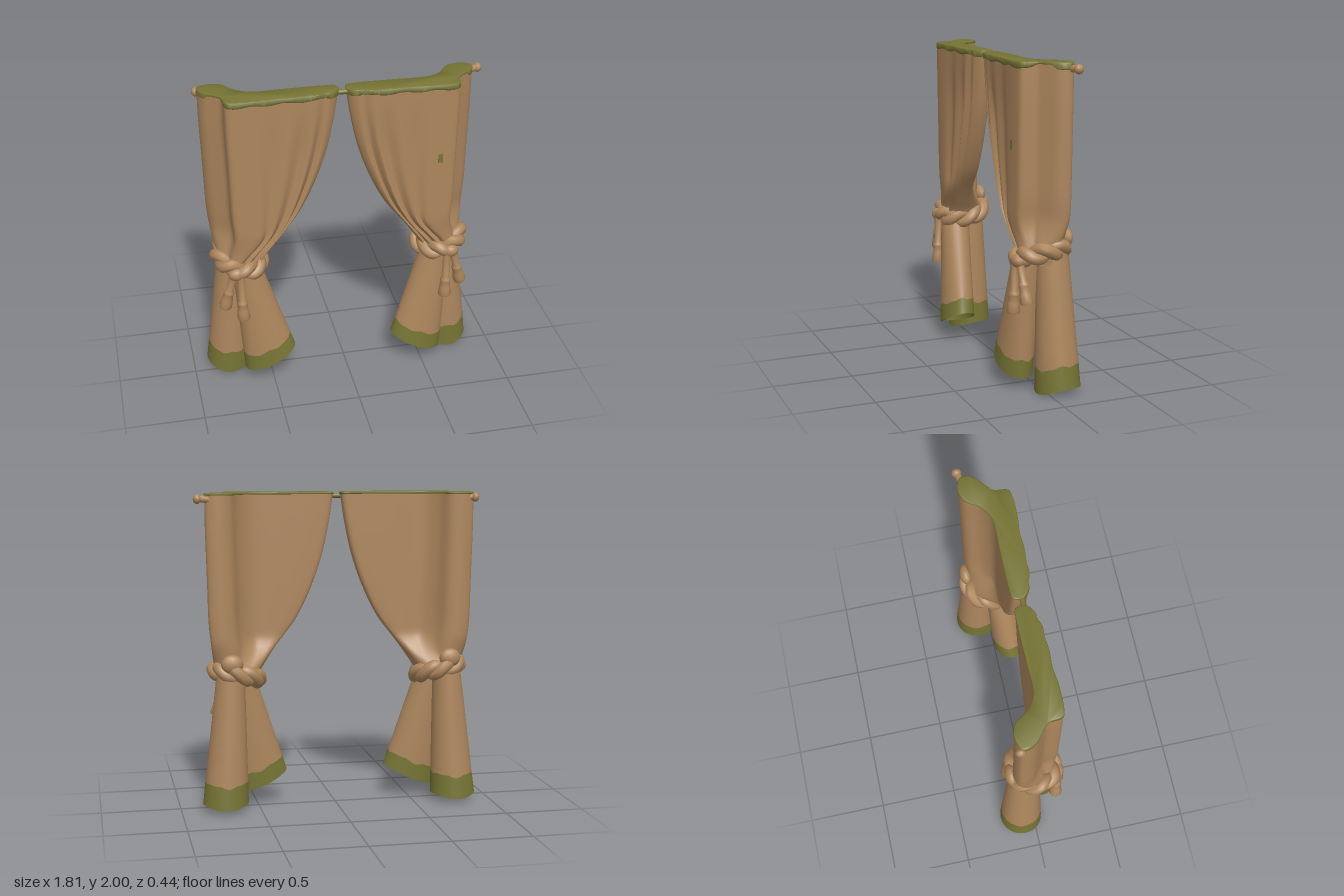
import * as THREE from 'three';
import { mergeVertices, toCreasedNormals } from 'three/addons/utils/BufferGeometryUtils.js';

const cloth = new THREE.MeshStandardMaterial({ color: 0xad865d });
cloth.name = 'tan cloth';
const trim = new THREE.MeshStandardMaterial({ color: 0x767434 });
trim.name = 'olive trim';

const V = (x, y, z) => new THREE.Vector3(x, y, z);
const { lerp, smoothstep } = THREE.MathUtils;

// Drape cross-sections: [fraction from inner to outer edge, z, fold depth], back first, then front
const TOP = [[0, .08, 0], [.01, .03, 0], [.1, .02, 0], [.4, .02, 0], [.64, .018, 0], [.75, -.04, 0],
  [.82, -.12, 0], [.92, -.14, 0], [1, -.11, 0], [.98, -.04, 0], [.9, .02, 0], [.85, .06, 0], [.83, .145, 0],
  [.76, .16, 0], [.6, .16, 0], [.48, .15, .012], [.36, .155, 0], [.25, .148, .025], [.17, .15, 0],
  [.11, .13, .02], [.07, .13, 0], [.02, .105, 0]];
const TIE = [[0, .03], [.05, -.04], [.15, -.09], [.28, -.12], [.42, -.135], [.58, -.14], [.75, -.13], [.92, -.09],
  [1, -.03], [.98, .02], [.92, .06], [.85, .07], [.8, .11], [.72, .135], [.6, .14], [.52, .12], [.42, .14],
  [.32, .115], [.22, .125], [.15, .09], [.09, .1], [.02, .07]];

// Inner edge, height and outer edge of the drape
const EDGES = new THREE.CatmullRomCurve3([
  V(.025, 1.99, .85), V(.055, 1.8, .85), V(.1, 1.6, .845), V(.17, 1.4, .84), V(.27, 1.2, .835),
  V(.385, 1.05, .82), V(.455, .95, .805), V(.505, .87, .79), V(.53, .8, .785)]);

// The outer column keeps its width; only the flat panel narrows towards the tie
function section({ x: inner, y, z: outer }) {
  const t = 1 - smoothstep(y, .83, 1.1);
  const fold = 1 - smoothstep(y, 1.55, 1.95);
  const corner = outer - .34 * .825;
  const pts = TOP.map(([a, z, depth], i) => {
    const x = a < .66 ? lerp(inner, corner, a / .66) : outer - (1 - a) * .825;
    return V(lerp(x, lerp(inner, outer, TIE[i][0]), t), y, lerp(z - depth * fold, TIE[i][1], t));
  });
  return new THREE.CatmullRomCurve3(pts, true).getPoints(88).slice(0, -1);
}

// Skin over closed rings listed from top to bottom
function loft(rings) {
  const n = rings[0].length, index = [];
  for (let i = 0; i < rings.length - 1; i++) {
    for (let j = 0; j < n; j++) {
      const k = (j + 1) % n, a = i * n + j, b = i * n + k;
      index.push(a, b, a + n, b, b + n, a + n);
    }
  }
  const geo = new THREE.BufferGeometry().setFromPoints(rings.flat());
  geo.setIndex(index);
  return geo;
}

// One flared lower tail; ring at fraction t of the way down
function tailRing({ top, bottom, hemY, hemTop }, t, scale = 1) {
  const ring = [];
  for (let j = 0; j < 32; j++) {
    const a = j / 32 * Math.PI * 2, c = Math.cos(a), s = Math.sin(a);
    const ragged = t === hemTop ? .006 * Math.sin(a * 5) + .005 * Math.sin(a * 9) : 0;
    ring.push(V(
      lerp(top[0], bottom[0], t) + c * scale * lerp(top[2], bottom[2], t),
      lerp(.88, hemY(c, s), t) + ragged,
      lerp(top[1], bottom[1], t) + s * scale * lerp(top[3], bottom[3], t)));
  }
  return ring;
}

const TAILS = {
  outerTail: {
    top: [.7, -.06, .088, .098], bottom: [.743, -.083, .145, .14], hemTop: .83,
    hemY: (c, s) => .015 + .035 * c * c - .014 * s
  },
  innerTail: {
    top: [.63, .06, .085, .092], bottom: [.49, .1, .166, .108], hemTop: .86,
    hemY: c => .125 - .07 * c + .015 * c * c
  }
};

// Twisted tie rope: one strand wound round a tilted oval
function ropeStrand(phase) {
  const pts = [];
  for (let i = 0; i < 72; i++) {
    const a = i / 72 * Math.PI * 2, w = 4 * a + phase;
    const out = .02 * Math.cos(w);
    const x = (.132 + out) * Math.cos(a), z = (.14 + out) * Math.sin(a);
    pts.push(V(.655 + x, .857 + .22 * x - .15 * z + .028 * Math.sin(w), z));
  }
  return new THREE.TubeGeometry(new THREE.CatmullRomCurve3(pts, true), 110, .039, 8, true);
}

// Hanging cord with a bell-shaped end, from point a to point b
function tassel(a, b) {
  const len = a.distanceTo(b);
  const profile = [[0, 0], [.038, 0], [.042, .012], [.037, .06], [.03, .1], [.034, .112], [.031, .125],
    [.023, .14], [.025, len - .02], [0, len]].map(p => new THREE.Vector2(...p));
  const geo = new THREE.LatheGeometry(profile, 10);
  const q = new THREE.Quaternion().setFromUnitVectors(V(0, 1, 0), a.clone().sub(b).normalize());
  return geo.applyQuaternion(q).translate(b.x, b.y, b.z);
}

function blob(x, y, z, rx, ry, rz) {
  return new THREE.SphereGeometry(1, 12, 8).scale(rx, ry, rz).translate(x, y, z);
}

function rod(a, b, r0, r1) {
  const geo = new THREE.CylinderGeometry(r1, r0, a.distanceTo(b), 9);
  const q = new THREE.Quaternion().setFromUnitVectors(V(0, 1, 0), b.clone().sub(a).normalize());
  const m = a.clone().add(b).multiplyScalar(.5);
  return geo.applyQuaternion(q).translate(m.x, m.y, m.z);
}

// Olive cap on the drape's top outline; a wavy lip hangs down at the front and outer end only
function topTrim() {
  const shape = new THREE.Shape(section(EDGES.getPoint(0)).map(p => new THREE.Vector2(p.x, -p.z)));
  const geo = new THREE.ExtrudeGeometry(shape,
    { depth: .006, bevelSize: .004, bevelThickness: .004, bevelSegments: 1 });
  geo.rotateX(-Math.PI / 2).translate(0, 1.99, 0);
  const p = geo.attributes.position;
  for (let i = 0; i < p.count; i++) {
    if (p.getY(i) > 1.993) continue;
    const lip = smoothstep(p.getZ(i) + 3 * Math.max(0, p.getX(i) - .78), .05, .1);
    p.setY(i, p.getY(i) - lip * (.022 + .006 * Math.sin(p.getX(i) * 31)));
  }
  return geo;
}

function curtain(side) {
  const group = new THREE.Group();
  group.name = side > 0 ? 'leftCurtain' : 'rightCurtain';

  // Weld, mirror if needed and shade
  const add = (name, geo, material, crease = .8) => {
    geo.deleteAttribute('uv');
    geo.deleteAttribute('normal');
    geo = mergeVertices(geo, 1e-5);
    if (side < 0) {
      geo.scale(-1, 1, 1);
      geo.setIndex(Array.from(geo.index.array).reverse());
    }
    const mesh = new THREE.Mesh(toCreasedNormals(geo, crease), material);
    mesh.name = name;
    group.add(mesh);
  };

  // Gathered upper drape and its cap
  add('drape', loft(EDGES.getPoints(36).map(section)), cloth);
  add('topTrim', topTrim(), trim);

  // Flared tails with hollow olive hems
  for (const [name, tail] of Object.entries(TAILS)) {
    const hem = tail.hemTop;
    add(name, loft([0, .2, .4, .6, .75, hem].map(t => tailRing(tail, t))), cloth);
    add(name + 'Hem', loft([
      tailRing(tail, hem), tailRing(tail, .94), tailRing(tail, 1),
      tailRing(tail, 1, .9), tailRing(tail, .85, .88), tailRing(tail, .7, .85), tailRing(tail, .7, 0)
    ]), trim);
  }

  // Tie rope, knots and tassels
  add('ropeStrandA', ropeStrand(0), cloth, 1.2);
  add('ropeStrandB', ropeStrand(Math.PI), cloth, 1.2);
  add('knot', blob(.695, .825, .16, .055, .042, .04), cloth, 1.2);
  add('longTassel', tassel(V(.672, .83, .165), V(.662, .5, .176)), cloth);
  add('shortTassel', tassel(V(.71, .83, .155), V(.775, .575, .135)), cloth);
  add('backKnot', blob(.7, .945, -.145, .07, .06, .04), cloth, 1.2);

  // Rod end sticking out at the outer top corner
  const tip = side > 0 ? .915 : .872;
  add('rodEnd', rod(V(.79, 1.962, -.1), V(tip, 1.966, -.125), .024, .02), cloth);
  add('rodKnob', blob(tip - .014, 1.966, -.125, .025, .03, .03), cloth);
  return group;
}

export function createModel() {
  const model = new THREE.Group();
  model.name = 'curtains';
  const pair = new THREE.Group();
  pair.name = 'curtainPair';
  pair.add(curtain(1), curtain(-1));

  // Short olive link bridging the two drapes
  const bridge = new THREE.Mesh(rod(V(-.06, 1.975, .08), V(.06, 1.975, .08), .016, .016), trim);
  bridge.name = 'bridge';
  pair.add(bridge);

  // Small olive patch on the front of the left drape
  const patch = new THREE.Mesh(new THREE.BoxGeometry(.03, .055, .009), trim);
  patch.name = 'patch';
  patch.position.set(.602, 1.505, .162);
  pair.add(patch);

  pair.position.x = -.022;
  model.add(pair);
  return model;
}
